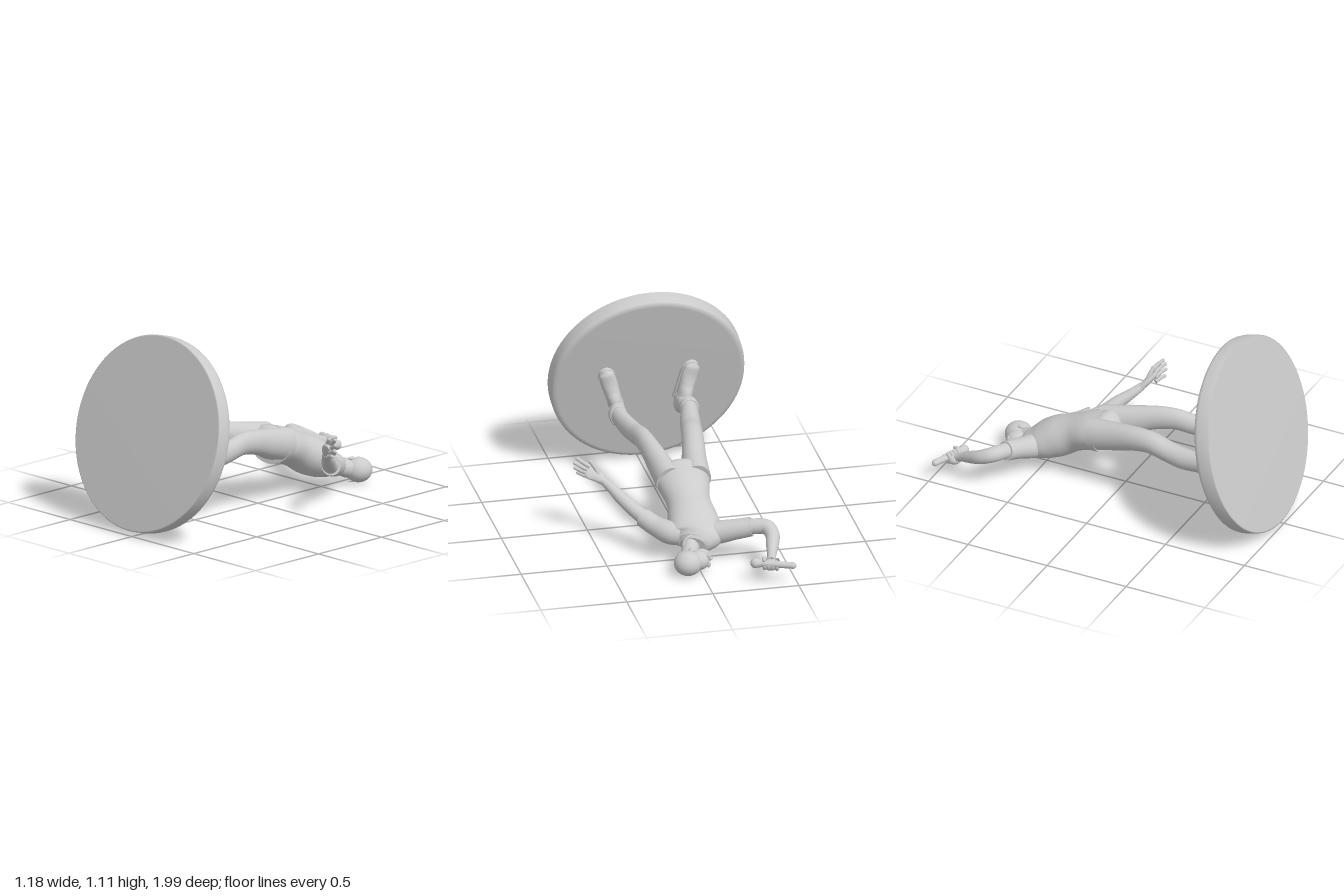
import * as THREE from 'three';

const material = new THREE.MeshStandardMaterial({ color: 0xcccccc, side: THREE.DoubleSide });
const V = (p) => new THREE.Vector3(p[0], p[1], p[2]);

function add(parent, name, geometry) {
  const mesh = new THREE.Mesh(geometry, material);
  mesh.name = name;
  parent.add(mesh);
  return mesh;
}

// Smooth skin over elliptical sections [x, y, z, halfWidth, halfDepth], capped at both ends
function loft(sections, { sides = 24, steps = 6, ref = [0, 1, 0] } = {}) {
  const path = new THREE.CatmullRomCurve3(sections.map(V), false, 'centripetal');
  const radii = new THREE.CatmullRomCurve3(sections.map((s) => new THREE.Vector3(s[3], s[4] ?? s[3], 0)), false, 'catmullrom', 0.4);
  const rows = (sections.length - 1) * steps;
  const pos = [], index = [], rings = [], centres = [];
  for (let i = 0; i <= rows; i++) {
    const c = path.getPoint(i / rows), t = path.getTangent(i / rows), r = radii.getPoint(i / rows);
    const u = V(ref).cross(t).normalize(), v = t.clone().cross(u);
    const ring = [];
    for (let j = 0; j < sides; j++) {
      const a = (j / sides) * Math.PI * 2;
      ring.push(c.clone().addScaledVector(u, r.x * Math.cos(a)).addScaledVector(v, r.y * Math.sin(a)));
    }
    ring.forEach((p) => pos.push(p.x, p.y, p.z));
    rings.push(ring);
    centres.push(c);
  }
  for (let i = 0; i < rows; i++) for (let j = 0; j < sides; j++) {
    const k = (j + 1) % sides, a = i * sides, b = a + sides;
    index.push(a + j, a + k, b + j, a + k, b + k, b + j);
  }
  [0, rows].forEach((row) => {
    const start = pos.length / 3;
    [...rings[row], centres[row]].forEach((p) => pos.push(p.x, p.y, p.z));
    for (let j = 0; j < sides; j++) {
      const k = (j + 1) % sides;
      index.push(start + sides, start + (row ? j : k), start + (row ? k : j));
    }
  });
  const g = new THREE.BufferGeometry();
  g.setAttribute('position', new THREE.Float32BufferAttribute(pos, 3));
  g.setIndex(index);
  g.computeVertexNormals();
  return g;
}

function blob(parent, name, centre, radii) {
  const mesh = add(parent, name, new THREE.SphereGeometry(1, 28, 20));
  mesh.position.set(...centre);
  mesh.scale.set(...radii);
  return mesh;
}

// Finger: round-tipped tube through the given points
function finger(parent, name, points, r) {
  const n = points.length - 1;
  add(parent, name, loft(points.map((p, i) => [...p, i === n ? r * 0.8 : r]), { sides: 10, steps: 4 }));
  blob(parent, name + 'Tip', points[n], [r * 0.85, r * 0.85, r * 0.85]);
}

function buildBase() {
  // Local frame: y away from the disc, z towards the toes
  const base = new THREE.Group();
  base.name = 'baseWithShoes';
  const profile = [[0, -0.102], [0.555, -0.102], [0.563, -0.097], [0.563, -0.03], [0.559, -0.012], [0.548, -0.003], [0.53, 0], [0, 0]];
  add(base, 'disc', new THREE.LatheGeometry(profile.map(([x, y]) => new THREE.Vector2(x, y)), 96));
  [[-1, -0.19], [1, 0.2]].forEach(([side, x]) => {
    const shoe = new THREE.Group();
    shoe.name = side > 0 ? 'leftShoe' : 'rightShoe';
    shoe.position.set(x, 0, -0.09);
    shoe.rotation.y = side * 0.3;
    // Upper, heel to toe: the section's height drops over the instep
    add(shoe, 'shoeUpper', loft([
      [0, 0.05, -0.065, 0.015, 0.03], [0, 0.06, -0.055, 0.036, 0.058], [0, 0.072, -0.02, 0.043, 0.072],
      [0, 0.068, 0.03, 0.043, 0.066], [0, 0.05, 0.08, 0.045, 0.048], [0, 0.035, 0.14, 0.048, 0.034],
      [0, 0.029, 0.19, 0.041, 0.026], [0, 0.025, 0.215, 0.015, 0.012]]));
    add(shoe, 'shoeCollar', loft([[0, 0.06, 0, 0.046, 0.05], [0, 0.12, 0, 0.042, 0.046], [0, 0.17, 0, 0.042, 0.047]], { ref: [0, 0, 1] }));
    const sole = new THREE.Shape();
    sole.moveTo(-0.034, -0.04);
    sole.bezierCurveTo(-0.034, -0.082, 0.034, -0.082, 0.034, -0.04);
    sole.bezierCurveTo(0.036, 0.04, 0.052, 0.09, 0.05, 0.15);
    sole.bezierCurveTo(0.045, 0.24, -0.045, 0.24, -0.05, 0.15);
    sole.bezierCurveTo(-0.052, 0.09, -0.036, 0.04, -0.034, -0.04);
    const g = new THREE.ExtrudeGeometry(sole, { depth: 0.022, bevelEnabled: false, curveSegments: 16 });
    add(shoe, 'sole', g.rotateX(Math.PI / 2).translate(0, 0.022, 0));
    // Laces across the instep
    for (let i = 0; i < 5; i++) {
      const lace = add(shoe, 'lace', new THREE.CapsuleGeometry(0.005, 0.04, 4, 8));
      lace.rotation.z = Math.PI / 2;
      lace.position.set(0, 0.133 - i * 0.015, 0.034 + i * 0.019);
    }
    base.add(shoe);
  });
  base.position.set(-0.027, 0.55, 0.755);
  base.rotation.x = -1.839;
  return base;
}

function buildHead(figure) {
  const head = new THREE.Group();
  head.name = 'head';
  add(head, 'neck', loft([[0.015, 0.14, -0.54, 0.06, 0.055], [0.035, 0.115, -0.59, 0.05, 0.05], [0.06, 0.09, -0.66, 0.05, 0.05]]));
  blob(head, 'cranium', [0.08, 0.078, -0.718], [0.08, 0.072, 0.08]);
  blob(head, 'face', [0.016, 0.08, -0.695], [0.066, 0.056, 0.066]);
  blob(head, 'jaw', [-0.01, 0.082, -0.653], [0.05, 0.045, 0.032]).rotation.y = 0.2;
  blob(head, 'chinBeard', [-0.04, 0.084, -0.642], [0.025, 0.03, 0.018]);
  blob(head, 'nose', [-0.054, 0.084, -0.695], [0.016, 0.011, 0.017]);
  [-1, 1].forEach((s) => {
    blob(head, 'brow', [-0.04, 0.083 + s * 0.023, -0.725], [0.011, 0.019, 0.007]);
    blob(head, 'eye', [-0.043, 0.083 + s * 0.021, -0.71], [0.008, 0.01, 0.007]);
    blob(head, 'ear', [0.055, 0.08 + s * 0.066, -0.69], [0.014, 0.009, 0.023]);
  });
  [-0.668, -0.655].forEach((z) => blob(head, 'lip', [-0.052, 0.084, z], [0.01, 0.018, 0.005]));
  figure.add(head);
}

function buildLegs(figure) {
  blob(figure, 'hips', [-0.02, 0.34, -0.11], [0.148, 0.1, 0.085]);
  const shared = [[0.335, -0.16, 0.095], [0.375, 0, 0.083], [0.41, 0.13, 0.071], [0.425, 0.25, 0.064],
    [0.41, 0.36, 0.061], [0.404, 0.465, 0.063], [0.415, 0.57, 0.058], [0.42, 0.63, 0.06]];
  const legs = {
    rightTrouserLeg: [[-0.1, 0.08], [-0.121, 0.071], [-0.145, 0.065], [-0.165, 0.062], [-0.184, 0.06], [-0.203, 0.058], [-0.222, 0.05], [-0.23, 0.051]],
    leftTrouserLeg: [[0.06, 0.078], [0.083, 0.067], [0.105, 0.056], [0.122, 0.05], [0.138, 0.049], [0.156, 0.048], [0.177, 0.046], [0.184, 0.047]],
  };
  for (const [name, xs] of Object.entries(legs)) {
    const sections = shared.map(([y, z, b], i) => [xs[i][0], y, z, xs[i][1], b]);
    add(figure, name, loft(sections, { sides: 28 }));
    const [x, y, z, a, b] = sections[7];
    add(figure, 'trouserCuff', loft([[x, y, z - 0.042, a, b], [x, y, z - 0.034, a + 0.005, b + 0.005], [x, y, z, a + 0.004, b + 0.005]]));
  }
}

function buildTorso(figure) {
  add(figure, 'shirt', loft([
    [-0.021, 0.325, -0.12, 0.16, 0.111], [-0.02, 0.305, -0.2, 0.144, 0.106], [-0.018, 0.262, -0.3, 0.125, 0.104],
    [-0.017, 0.212, -0.4, 0.141, 0.115], [-0.015, 0.172, -0.48, 0.154, 0.107], [-0.01, 0.145, -0.54, 0.147, 0.088],
    [0.005, 0.132, -0.577, 0.105, 0.067], [0.015, 0.128, -0.595, 0.067, 0.05]], { sides: 40 }));
  const collar = add(figure, 'collar', new THREE.TorusGeometry(0.062, 0.008, 10, 32));
  collar.position.set(0.02, 0.122, -0.592);
  collar.rotation.set(0.2, 0.2, 0);
}

function buildLeftArm(figure) {
  const arm = new THREE.Group();
  arm.name = 'leftArm';
  add(arm, 'leftSleeve', loft([[0.07, 0.16, -0.5, 0.065], [0.13, 0.165, -0.475, 0.067], [0.195, 0.18, -0.405, 0.058], [0.252, 0.208, -0.335, 0.055]]));
  add(arm, 'leftForearm', loft([[0.22, 0.19, -0.37, 0.044], [0.285, 0.23, -0.285, 0.041], [0.345, 0.28, -0.22, 0.038], [0.4, 0.33, -0.155, 0.028], [0.44, 0.363, -0.115, 0.023]]));
  add(arm, 'leftPalm', loft([[0.43, 0.355, -0.122, 0.02, 0.024], [0.465, 0.383, -0.097, 0.02, 0.037], [0.5, 0.404, -0.08, 0.018, 0.046], [0.52, 0.415, -0.073, 0.012, 0.035]], { ref: [0.6, -0.6, -0.5] }));
  const tips = [[0.57, 0.48, -0.05], [0.582, 0.45, -0.043], [0.58, 0.418, -0.038], [0.563, 0.385, -0.035]];
  tips.forEach((tip, i) => {
    const root = [0.505 + (i % 3 ? 0.006 : 0), 0.437 - i * 0.023, -0.082 + i * 0.006];
    const mid = root.map((v, k) => (v + tip[k]) / 2 + (k === 2 ? -0.006 : 0));
    finger(arm, 'leftFinger', [root, mid, tip], 0.012);
  });
  finger(arm, 'leftThumb', [[0.455, 0.39, -0.1], [0.475, 0.43, -0.085], [0.5, 0.465, -0.075]], 0.013);
  figure.add(arm);
}

function buildRightArm(figure) {
  const arm = new THREE.Group();
  arm.name = 'rightArm';
  add(arm, 'rightSleeve', loft([[-0.06, 0.155, -0.5, 0.066], [-0.13, 0.165, -0.53, 0.068], [-0.22, 0.19, -0.57, 0.06], [-0.315, 0.215, -0.605, 0.056]]));
  add(arm, 'rightForearm', loft([[-0.26, 0.205, -0.59, 0.045], [-0.34, 0.22, -0.617, 0.045], [-0.395, 0.222, -0.65, 0.044], [-0.412, 0.2, -0.71, 0.041],
    [-0.396, 0.17, -0.78, 0.036], [-0.376, 0.14, -0.85, 0.026], [-0.367, 0.125, -0.885, 0.025]], { ref: [0.2, 1, -0.2] }));
  blob(arm, 'rightPalm', [-0.36, 0.108, -0.905], [0.045, 0.034, 0.04]);

  // Microphone: shaft along local y, with the ball head at the far end
  const mic = new THREE.Group();
  mic.name = 'microphone';
  add(mic, 'micShaft', new THREE.CapsuleGeometry(0.019, 0.17, 8, 20)).position.y = -0.02;
  add(mic, 'micCollar', new THREE.CylinderGeometry(0.028, 0.021, 0.03, 20)).position.y = 0.088;
  add(mic, 'micHead', new THREE.SphereGeometry(0.03, 20, 14)).position.y = 0.11;
  for (let i = 0; i < 4; i++) {
    const g = new THREE.TorusGeometry(0.026, 0.0115, 10, 20, Math.PI * 1.5);
    const wrap = add(mic, 'grippingFinger', g.rotateX(Math.PI / 2));
    wrap.position.y = 0.055 - i * 0.023;
    wrap.rotation.y = 1.2;
  }
  mic.position.set(-0.375, 0.12, -0.932);
  mic.quaternion.setFromUnitVectors(new THREE.Vector3(0, 1, 0), new THREE.Vector3(0.925, 0, 0.38).normalize());
  arm.add(mic);
  finger(arm, 'rightThumb', [[-0.34, 0.13, -0.885], [-0.32, 0.15, -0.905], [-0.315, 0.148, -0.925]], 0.012);
  figure.add(arm);
}

export function createModel() {
  const model = new THREE.Group();
  model.name = 'singerFigurine';
  const figure = new THREE.Group();
  figure.name = 'figure';
  model.add(buildBase(), figure);
  [buildLegs, buildTorso, buildHead, buildLeftArm, buildRightArm].forEach((build) => build(figure));
  return model;
}
